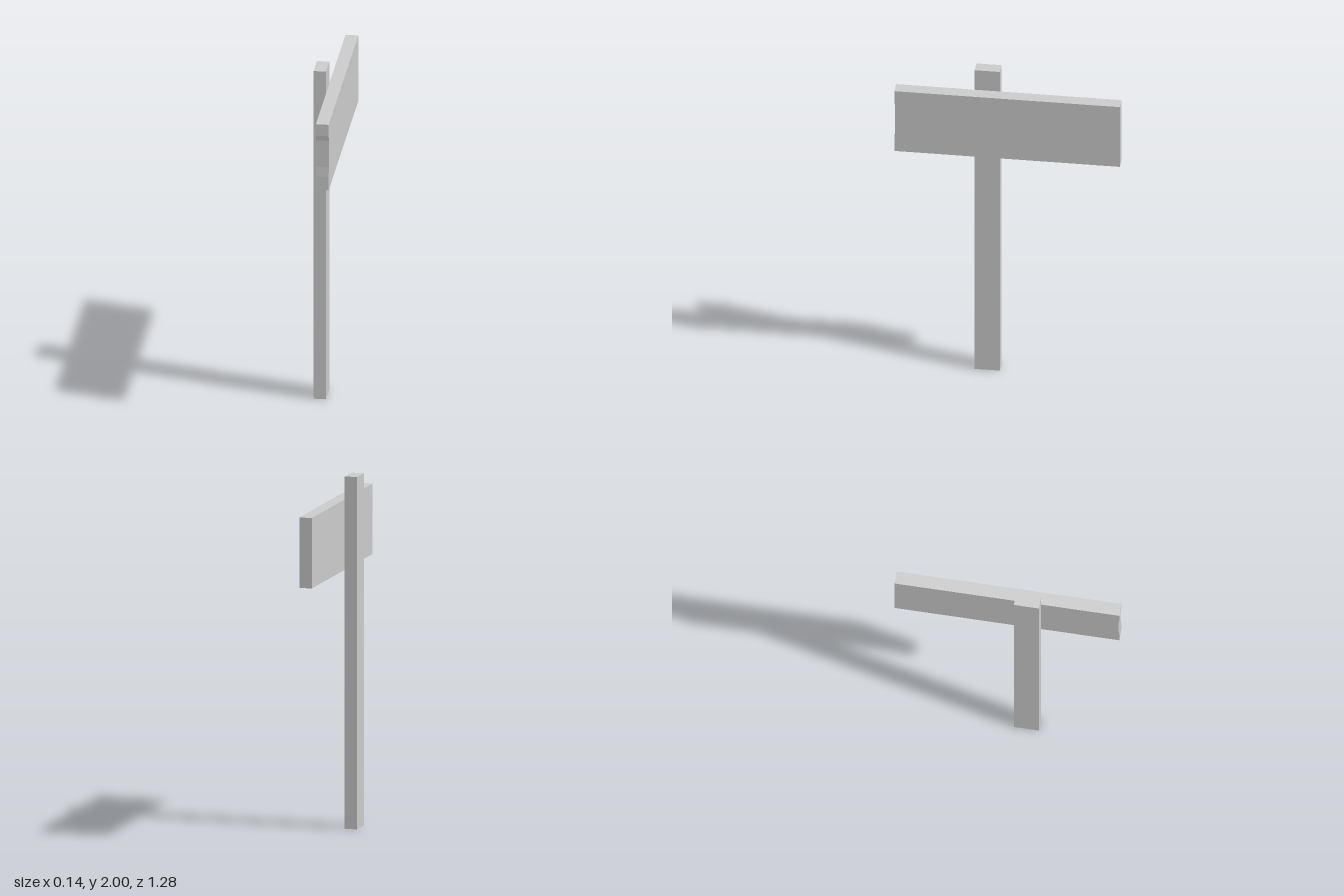
import * as THREE from 'three';

export function createModel() {
  const group = new THREE.Group();
  const material = new THREE.MeshStandardMaterial({ color: 0xcccccc, flatShading: true });

  const add = (name, geometry) => {
    const mesh = new THREE.Mesh(geometry, material);
    mesh.name = name;
    group.add(mesh);
  };

  // Upright post, set off-centre behind the board
  add('post', new THREE.BoxGeometry(0.071, 2, 0.143).translate(-0.037, 1, 0.122));

  // Sign board: side profile (z, y) with a very shallow dip in its front end
  const profile = new THREE.Shape([
    [-0.637, 1.47], [0.638, 1.47], [0.638, 1.55], [0.634, 1.61],
    [0.634, 1.77], [0.638, 1.8], [0.638, 1.87], [-0.637, 1.87],
  ].map(([z, y]) => new THREE.Vector2(z, y)));
  const board = new THREE.ExtrudeGeometry(profile, { depth: 0.073, bevelEnabled: false });
  add('signBoard', board.rotateY(-Math.PI / 2).translate(0.072, 0, 0));

  return group;
}
